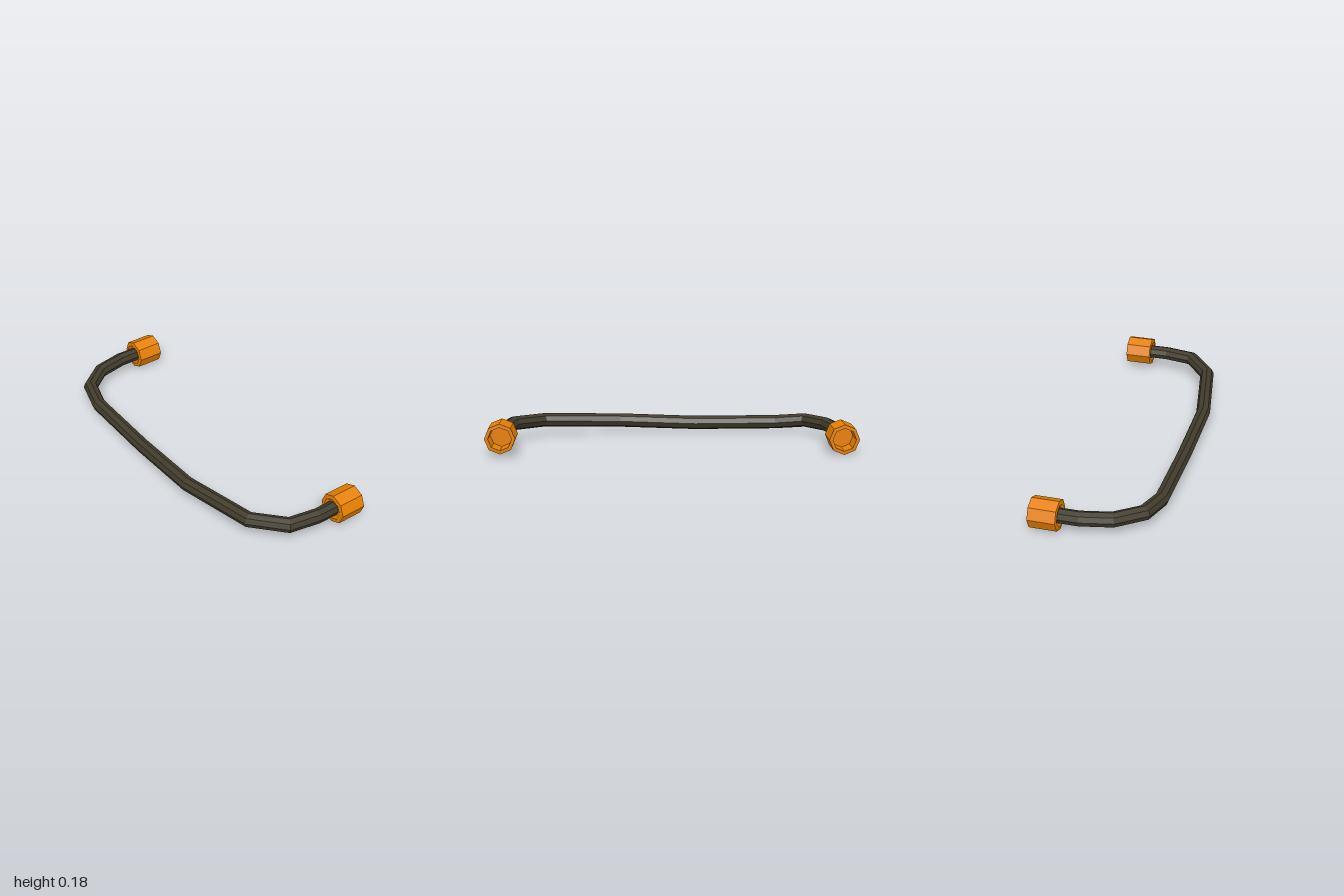
import * as THREE from 'three';

const SIDES = 8, RADIUS = 0.0395;

// Centre line of the bent bar, from the right mount to the left one
const PATH = [
  [-0.921, 0.084, -0.2], [-0.921, 0.084, -0.075], [-0.887, 0.084, 0.088],
  [-0.783, 0.081, 0.223], [-0.619, 0.063, 0.268], [-0.15, 0.059, 0.28],
  [0.287, 0.075, 0.286], [0.722, 0.094, 0.214], [0.884, 0.1025, 0.08],
  [0.915, 0.1025, -0.08], [0.915, 0.1025, -0.2],
].map((p) => new THREE.Vector3(...p));

// Octagonal bar with mitred bends; sections stay level with the ground
function barGeometry() {
  const pos = [], index = [];
  const up = new THREE.Vector3(0, 1, 0);
  const direction = (a, b) => b.clone().sub(a).setY(0).normalize();
  PATH.forEach((p, i) => {
    const before = direction(PATH[Math.max(i - 1, 0)], PATH[Math.max(i, 1)]);
    const after = i < PATH.length - 1 ? direction(p, PATH[i + 1]) : before;
    const tangent = before.clone().add(after).normalize();
    const side = new THREE.Vector3().crossVectors(tangent, up);
    const stretch = 1 / tangent.dot(before);
    for (let k = 0; k < SIDES; k++) {
      const a = (k / SIDES) * Math.PI * 2;
      const v = p.clone()
        .addScaledVector(side, Math.cos(a) * RADIUS * stretch)
        .addScaledVector(up, Math.sin(a) * RADIUS);
      pos.push(v.x, v.y, v.z);
      if (i > 0) {
        const n = (k + 1) % SIDES, s = (i - 1) * SIDES, t = i * SIDES;
        index.push(s + k, t + n, s + n, s + k, t + k, t + n);
      }
    }
  });
  const geometry = new THREE.BufferGeometry();
  geometry.setAttribute('position', new THREE.Float32BufferAttribute(pos, 3));
  geometry.setIndex(index);
  geometry.computeVertexNormals();
  return geometry;
}

// Octagonal socket: recessed at the back, dished around the bar at the front
function socketGeometry() {
  const profile = [
    [0, 0.02], [0.061, 0.02], [0.063, -0.075], [0.0825, -0.074],
    [0.0825, 0.072], [0.06, 0.075], [0.03, 0.06],
  ].map(([r, z]) => new THREE.Vector2(r, z));
  return new THREE.LatheGeometry(profile, 8).rotateX(Math.PI / 2);
}

export function createModel() {
  const darkMetal = new THREE.MeshStandardMaterial({ color: 0x413b2c });
  darkMetal.name = 'dark metal';
  const orange = new THREE.MeshStandardMaterial({ color: 0xe68000 });
  orange.name = 'orange';
  for (const material of [darkMetal, orange]) material.flatShading = true;

  const model = new THREE.Group();
  model.name = 'bentBarHandle';

  const bar = new THREE.Mesh(barGeometry(), darkMetal);
  bar.name = 'bar';
  model.add(bar);

  // Sockets on both ends
  const socket = socketGeometry();
  [['rightSocket', -0.92, 0.084, -0.248], ['leftSocket', 0.917, 0.102, -0.252]]
    .forEach(([name, x, y, z]) => {
      const mesh = new THREE.Mesh(socket, orange);
      mesh.name = name;
      mesh.position.set(x, y, z);
      model.add(mesh);
    });
  return model;
}
